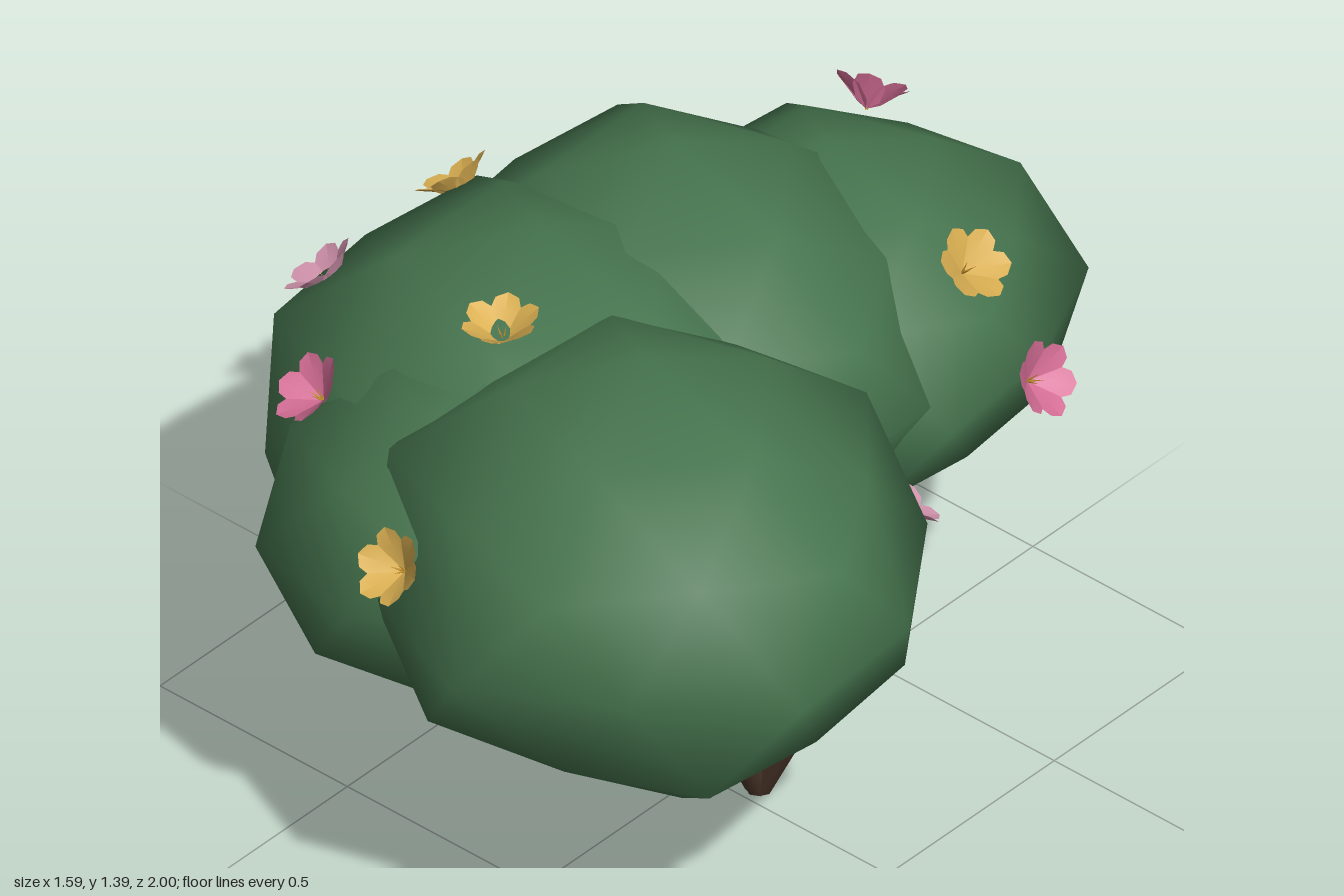
import * as THREE from 'three';
import { mergeVertices } from 'three/addons/utils/BufferGeometryUtils.js';

const mat = (name, color, side = THREE.FrontSide) => {
  const m = new THREE.MeshStandardMaterial({ color, side });
  m.name = name;
  return m;
};

// Low-poly clump: icosphere with a vertex at the pole, equator radii set every 36 degrees from +z
function clumpGeometry(radii) {
  let g = new THREE.IcosahedronGeometry(1, 1);
  g.deleteAttribute('normal');
  g.deleteAttribute('uv');
  g = mergeVertices(g, 1e-3);
  g.rotateX(-Math.atan((1 + Math.sqrt(5)) / 2));
  g.rotateY(Math.PI / 2);
  const p = g.attributes.position;
  const v = new THREE.Vector3();
  for (let i = 0; i < p.count; i++) {
    v.fromBufferAttribute(p, i);
    if (Math.abs(v.y) < 0.05) {
      const step = Math.round(Math.atan2(v.x, v.z) / (Math.PI / 5));
      v.multiplyScalar(radii[(step + 10) % 10]);
    } else if (Math.abs(Math.abs(v.y) - 0.526) < 0.03) {
      v.multiplyScalar(0.9); // belt between the main corners
    } else if (Math.abs(Math.abs(v.y) - 0.851) < 0.03) {
      v.multiplyScalar(0.93); // ring around the poles
    }
    p.setXYZ(i, v.x, v.y, v.z);
  }
  return g;
}

// Curved oval petal growing along +x from the flower centre, raised into a cup facing +y
function petalGeometry() {
  const g = new THREE.CircleGeometry(1, 8);
  g.rotateX(-Math.PI / 2);
  g.scale(0.04, 1, 0.034);
  g.translate(0.042, 0, 0);
  const p = g.attributes.position;
  for (let i = 0; i < p.count; i++) {
    const x = p.getX(i), z = p.getZ(i);
    p.setY(i, 0.85 * x - 1.5 * x * x + 6 * z * z);
  }
  g.computeVertexNormals();
  return g;
}

export function createModel() {
  const model = new THREE.Group();
  model.name = 'floweringBush';
  const leaf = mat('leaf green', 0x45734d);
  const bark = mat('bark brown', 0x4c362a);
  const yellow = mat('petal yellow', 0xdbb052, THREE.DoubleSide);
  const pink = mat('petal pink', 0xd46d95, THREE.DoubleSide);
  const pale = mat('petal pale pink', 0xd394ae, THREE.DoubleSide);
  const gold = mat('stamen gold', 0xc9952f);

  // Foliage clumps: name, centre, radii, equator profile
  const clumps = [
    ['rightFrontFoliage', [0.22, 0.88, 0.41], [0.59, 0.5, 0.56],
      [1.05, 0.88, 1.02, 0.98, 1, 0.87, 0.95, 0.95, 0.97, 0.99]],
    ['leftFoliage', [-0.25, 0.865, 0.2], [0.61, 0.488, 0.58],
      [0.9, 0.9, 0.9, 0.9, 0.9, 0.9, 0.9, 0.86, 0.86, 0.95]],
    ['middleFoliage', [-0.21, 0.885, -0.16], [0.56, 0.495, 0.54],
      [0.95, 0.95, 1, 1, 1, 0.95, 0.87, 0.95, 0.99, 0.95]],
    ['backFoliage', [-0.1, 0.83, -0.5], [0.48, 0.41, 0.5],
      [0.95, 0.9, 1.02, 0.95, 1.08, 1, 0.96, 1.03, 1.02, 1.02]],
    ['lowFrontFoliage', [-0.15, 0.82, 0.42], [0.47, 0.42, 0.5],
      [0.96, 0.88, 0.9, 0.95, 0.95, 0.95, 0.95, 0.95, 0.97, 1.05]],
  ];
  for (const [name, centre, size, radii] of clumps) {
    const g = clumpGeometry(radii);
    g.scale(...size);
    g.computeVertexNormals();
    const m = new THREE.Mesh(g, leaf);
    m.name = name;
    m.position.set(...centre);
    model.add(m);
  }

  // Five stems fanning out evenly from one root
  const stems = new THREE.Group();
  stems.name = 'stems';
  const up = new THREE.Vector3(0, 1, 0);
  for (let i = 0; i < 5; i++) {
    const a = 0.1 + (i * Math.PI * 2) / 5;
    const dir = new THREE.Vector3(0.225 * Math.cos(a), 0.42, 0.225 * Math.sin(a));
    const len = dir.length();
    const g = new THREE.CylinderGeometry(0.024, 0.031, len, 8);
    g.translate(0, len / 2, 0);
    const stem = new THREE.Mesh(g, bark);
    stem.name = 'stem';
    stem.position.set(0.12, 0.005, -0.04);
    stem.quaternion.setFromUnitVectors(up, dir.normalize());
    stems.add(stem);
  }
  model.add(stems);

  // Flowers: material, position, facing direction
  const petal = petalGeometry();
  const stamen = new THREE.ConeGeometry(0.003, 0.04, 5);
  stamen.translate(0, 0.02, 0);
  const flowers = [
    [yellow, [-0.03, 0.99, 0.88], [-0.15, 0.65, 0.9]],
    [yellow, [-0.15, 1.27, 0.43], [-0.05, 1, 0.08]],
    [yellow, [0.27, 1.11, -0.5], [0.65, 0.8, 0]],
    [yellow, [-0.7, 1.08, -0.06], [-0.65, 0.75, 0]],
    [pink, [-0.33, 1.02, -0.88], [-0.3, 0.7, -0.7]],
    [pink, [0.38, 0.84, -0.58], [0.9, 0.5, -0.1]],
    [pale, [0.43, 0.81, -0.12], [0.3, 0.65, -0.7]],
    [pale, [-0.68, 1.1, 0.36], [-0.6, 0.75, 0.2]],
    [pink, [-0.46, 1.075, 0.64], [-0.35, 0.75, 0.6]],
  ];
  for (const [material, pos, facing] of flowers) {
    const flower = new THREE.Group();
    flower.name = 'flower';
    for (let i = 0; i < 6; i++) {
      const m = new THREE.Mesh(petal, material);
      m.name = 'petal';
      m.rotation.y = (i * Math.PI) / 3;
      flower.add(m);
    }
    for (let i = 0; i < 3; i++) {
      const m = new THREE.Mesh(stamen, gold);
      m.name = 'stamen';
      m.rotation.set(0, (i * Math.PI * 2) / 3, 0.3);
      flower.add(m);
    }
    const dir = new THREE.Vector3(...facing).normalize();
    flower.position.set(...pos).addScaledVector(dir, -0.025);
    flower.quaternion.setFromUnitVectors(up, dir);
    model.add(flower);
  }
  return model;
}
